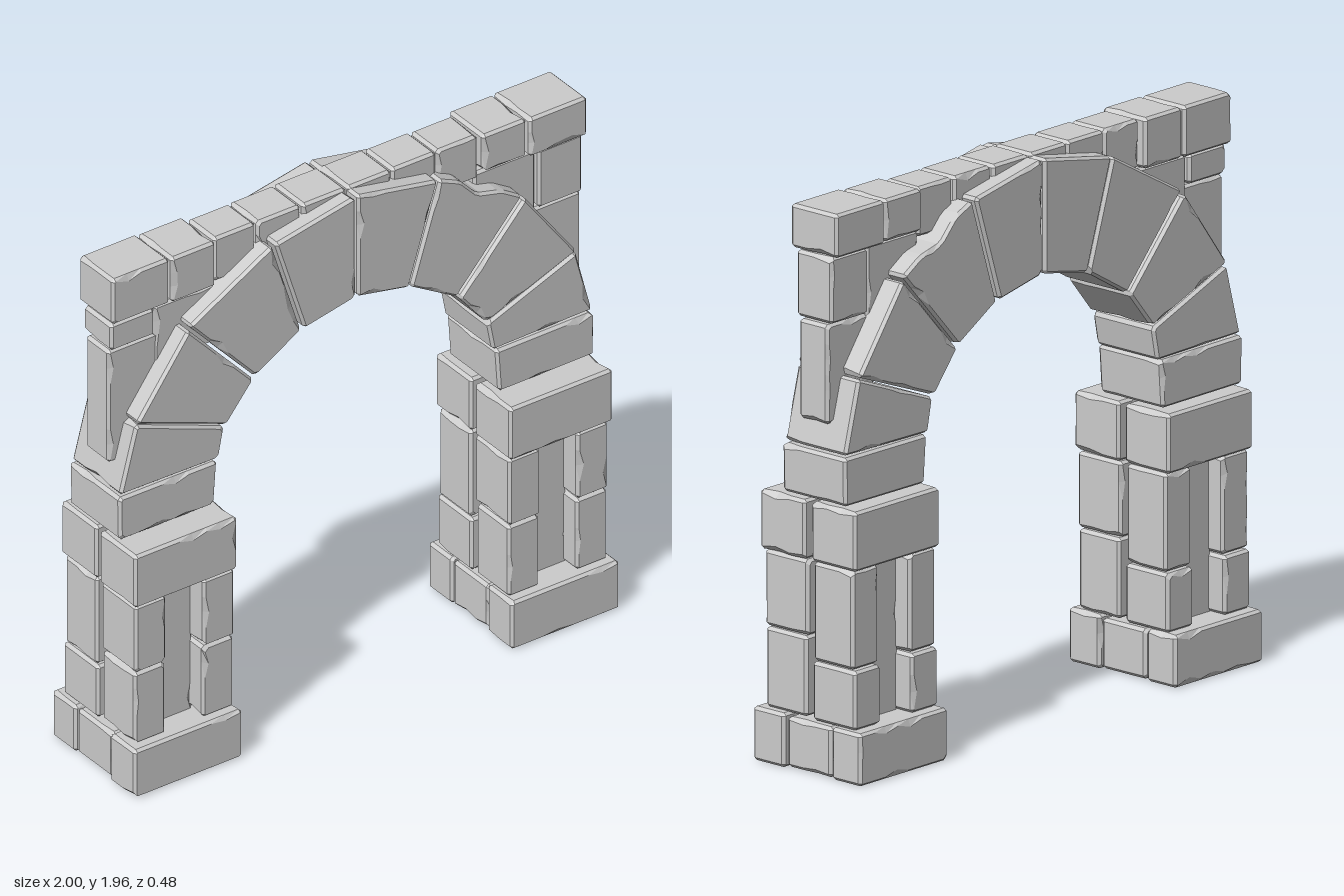
import * as THREE from 'three';

const material = new THREE.MeshStandardMaterial({ color: 0xcccccc, flatShading: true, side: THREE.DoubleSide });
const BEVEL = 0.011;

// Small seeded generator for the chipped edges
let seed = 7;
const rand = () => {
  seed = (seed * 16807) % 2147483647;
  return seed / 2147483647;
};
const chip = (chance, size) => (rand() < chance ? BEVEL + rand() * size : BEVEL * 0.8);

// One ring of a stone outline: cut corners, subdivided edges, moved inwards at the faces
function ring(corners, z, isFace) {
  const n = corners.length;
  const cuts = corners.map(() => BEVEL + (rand() < 0.2 ? rand() * 0.012 : 0));
  const points = [];
  corners.forEach((a, i) => {
    const b = corners[(i + 1) % n];
    const dir = b.clone().sub(a);
    const length = dir.length();
    dir.normalize();
    const inward = new THREE.Vector2(-dir.y, dir.x);
    const steps = Math.max(2, Math.round(length / 0.06));
    const from = cuts[i], to = length - cuts[(i + 1) % n];
    for (let s = 0; s <= steps; s++) {
      const p = a.clone().addScaledVector(dir, from + ((to - from) * s) / steps);
      const end = s === 0 || s === steps;
      if (isFace) p.addScaledVector(inward, end ? BEVEL * 0.8 : chip(0.14, 0.016));
      points.push(new THREE.Vector3(p.x, p.y, z));
    }
  });
  return points;
}

// Chamfered, chipped stone with outline pts in x/y between depths z0 and z1
function stone(name, pts, z0, z1) {
  let corners = pts.map(([x, y]) => new THREE.Vector2(x, y));
  if (THREE.ShapeUtils.area(corners) < 0) corners.reverse();
  const depths = [z0, z0 + BEVEL];
  const inner = Math.max(2, Math.round((z1 - z0) / 0.07));
  for (let k = 1; k < inner; k++) depths.push(z0 + BEVEL + ((z1 - z0 - 2 * BEVEL) * k) / inner);
  depths.push(z1 - BEVEL, z1);
  const rings = depths.map((z, k) => ring(corners, z, k === 0 || k === depths.length - 1));

  const count = rings[0].length;
  const center = corners.reduce((s, c) => s.add(c), new THREE.Vector2()).divideScalar(corners.length);
  const position = [], index = [];
  rings.flat().forEach((p) => position.push(p.x, p.y, p.z));
  position.push(center.x, center.y, z0, center.x, center.y, z1);
  const back = rings.length * count, front = back + 1, last = (rings.length - 1) * count;
  for (let i = 0; i < count; i++) {
    const j = (i + 1) % count;
    for (let r = 0; r < rings.length - 1; r++) {
      const a = r * count + i, b = r * count + j;
      index.push(a, b, b + count, a, b + count, a + count);
    }
    index.push(back, j, i, front, last + i, last + j);
  }
  const indexed = new THREE.BufferGeometry();
  indexed.setAttribute('position', new THREE.Float32BufferAttribute(position, 3));
  indexed.setIndex(index);
  const geometry = indexed.toNonIndexed();
  geometry.computeVertexNormals();
  const mesh = new THREE.Mesh(geometry, material);
  mesh.name = name;
  return mesh;
}

const block = (name, x0, x1, y0, y1, z0, z1) =>
  stone(name, [[x0, y0], [x1, y0], [x1, y1], [x0, y1]], z0, z1);

// Pillar on one side; x values are given for the left (+x) side
function pillar(side) {
  const group = new THREE.Group();
  group.name = side > 0 ? 'leftPillar' : 'rightPillar';
  const add = (name, x0, x1, ...rest) =>
    group.add(block(name, Math.min(x0 * side, x1 * side), Math.max(x0 * side, x1 * side), ...rest));

  // Three foundation stones
  add('frontBase', 0.553, 0.998, 0, 0.188, 0.098, 0.24);
  add('middleBase', 0.56, 0.985, 0.003, 0.178, -0.103, 0.095);
  add('backBase', 0.558, 0.99, 0, 0.182, -0.24, -0.107);

  // Paired shafts with a recessed panel between them
  add('panel', 0.68, 0.86, 0.17, 0.77, -0.125, 0.13);
  for (const [x0, x1] of [[0.845, 0.972], [0.565, 0.692]]) {
    add('frontShaftLower', x0, x1, 0.187, 0.466, 0.02, 0.205);
    add('frontShaftUpper', x0, x1, 0.47, 0.733, 0.013, 0.21);
    add('backShaftLower', x0, x1, 0.182, 0.387, -0.2, -0.005);
    add('backShaftUpper', x0, x1, 0.391, 0.733, -0.19, -0.01);
  }

  // Capital stones
  add('frontCapital', 0.56, 0.983, 0.735, 0.942, 0.018, 0.222);
  add('backCapital', 0.562, 0.978, 0.735, 0.942, -0.206, -0.004);
  return group;
}

// Half of the arch ring, from springer to crown
const VOUSSOIRS = [
  [[0.975, 0.952], [0.585, 0.95], [0.573, 1.118], [0.978, 1.12]],
  [[0.972, 1.127], [0.563, 1.121], [0.54, 1.238], [0.905, 1.38]],
  [[0.905, 1.387], [0.535, 1.245], [0.423, 1.382], [0.692, 1.677]],
  [[0.685, 1.687], [0.414, 1.388], [0.225, 1.5], [0.345, 1.878]],
  [[0.335, 1.882], [0.215, 1.503], [0.004, 1.546], [0.004, 1.946]],
];

function arch() {
  const group = new THREE.Group();
  group.name = 'arch';
  for (const side of [1, -1]) {
    VOUSSOIRS.forEach((outline, i) => {
      let pts = outline.map(([x, y]) => [x * side, y]);
      // Broken outer edge on one voussoir
      if (side > 0 && i === 3) pts = [...pts, [0.43, 1.84], [0.5, 1.765], [0.6, 1.74]];
      const name = i === 0 ? 'springer' : 'voussoir';
      group.add(stone(name, pts, -0.16 + (i % 2) * 0.004, 0.126 - (i % 2) * 0.004));
    });
  }
  return group;
}

// Thinner wall filling the corners above the arch
function wall() {
  const group = new THREE.Group();
  group.name = 'wall';
  const add = (...args) => group.add(block(...args));

  // Coping row shared by both halves
  for (const side of [1, -1]) {
    const row = [[0.003, 0.182, 1.84], [0.188, 0.368, 1.8], [0.373, 0.543, 1.78]];
    row.forEach(([a, b, y], i) => {
      const x = [a * side, b * side].sort((p, q) => p - q);
      add('coping', ...x, y, 1.952, -0.098 + i * 0.004, 0.07 - i * 0.003);
    });
  }

  // Right corner
  add('coping', -0.732, -0.55, 1.778, 1.955, -0.112, 0.084);
  add('cornerCoping', -0.971, -0.737, 1.778, 1.956, -0.116, 0.08);
  add('wallStone', -0.97, -0.79, 1.668, 1.773, -0.09, 0.068);
  add('wallStone', -0.785, -0.53, 1.54, 1.773, -0.08, 0.06);
  add('wallStone', -0.972, -0.74, 1.22, 1.663, -0.075, 0.055);

  // Left corner
  add('coping', 0.548, 0.728, 1.808, 1.955, -0.112, 0.084);
  add('cornerCoping', 0.733, 0.971, 1.804, 1.956, -0.116, 0.094);
  add('wallStone', 0.787, 0.968, 1.57, 1.8, -0.09, 0.07);
  add('wallStone', 0.53, 0.782, 1.52, 1.802, -0.08, 0.06);
  add('wallStone', 0.74, 0.972, 1.22, 1.565, -0.075, 0.055);
  return group;
}

export function createModel() {
  seed = 7;
  const model = new THREE.Group();
  model.name = 'stoneArchway';
  model.add(pillar(1), pillar(-1), arch(), wall());
  return model;
}
